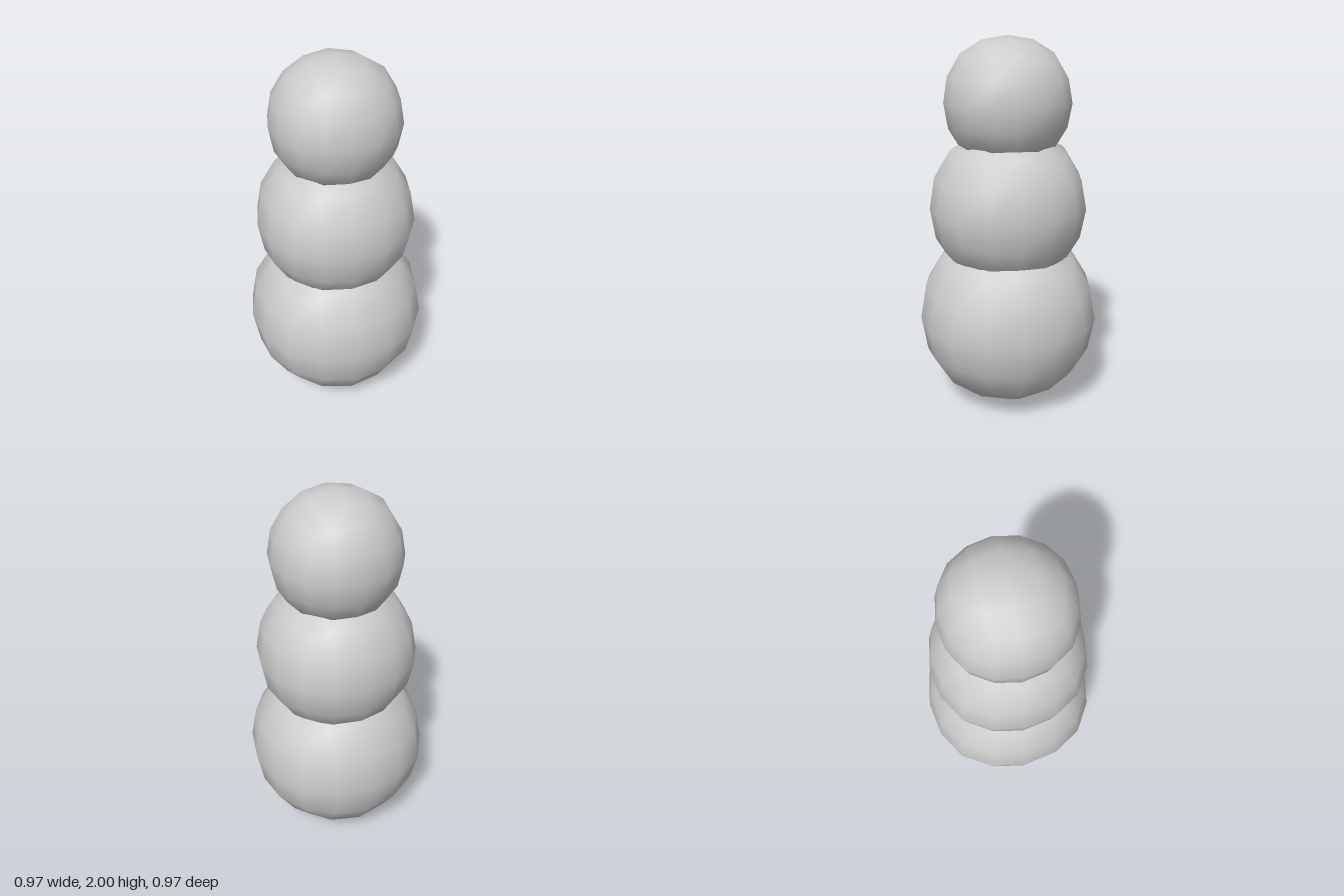
import * as THREE from 'three';
import { mergeVertices } from 'three/addons/utils/BufferGeometryUtils.js';

// Rounded position of each kind of grid point on a twice-subdivided cube,
// keyed by its coordinates (0, 1 or 2 steps from the centre), smallest first.
const ROUNDED = {
  '002': [0, 0, 0.8785],
  '012': [0, 0.3507, 0.8194],
  '112': [0.3264, 0.3264, 0.7639],
  '022': [0, 0.6432, 0.6432],
  '122': [0.3021, 0.599, 0.599],
  '222': [0.5093, 0.5093, 0.5093],
};

// Ball made from a smoothed cube; radius is measured along the axes
function ballGeometry(radius) {
  let geometry = new THREE.BoxGeometry(4, 4, 4, 4, 4, 4);
  geometry.deleteAttribute('uv');
  geometry.deleteAttribute('normal');
  geometry = mergeVertices(geometry);
  const scale = radius / 0.8785;
  const position = geometry.attributes.position;
  for (let i = 0; i < position.count; i++) {
    const p = [position.getX(i), position.getY(i), position.getZ(i)].map(Math.round);
    const steps = p.map(Math.abs).sort();
    const rounded = ROUNDED[steps.join('')];
    const q = p.map((v) => Math.sign(v) * rounded[steps.indexOf(Math.abs(v))] * scale);
    position.setXYZ(i, ...q);
  }
  geometry.computeVertexNormals();
  return geometry;
}

export function createModel() {
  const model = new THREE.Group();
  model.name = 'snowman';
  const material = new THREE.MeshStandardMaterial({ color: 0xcccccc });

  // Three stacked, overlapping balls
  const balls = [
    ['base', 0.487, 0.487],
    ['torso', 0.421, 1.11],
    ['head', 0.335, 1.665],
  ];
  for (const [name, radius, y] of balls) {
    const ball = new THREE.Mesh(ballGeometry(radius), material);
    ball.name = name;
    ball.position.y = y;
    model.add(ball);
  }
  return model;
}
